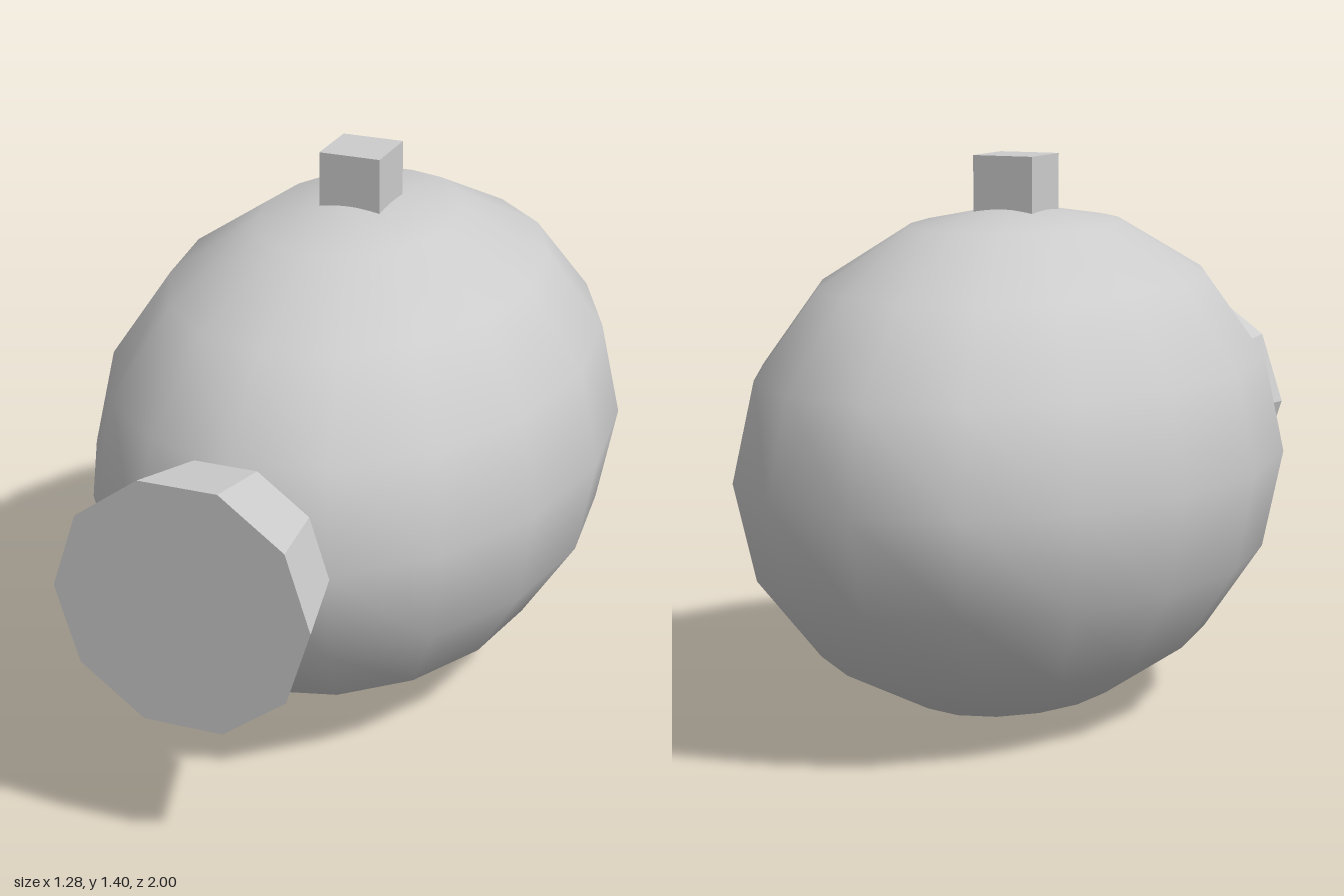
import * as THREE from 'three';

export function createModel() {
  const model = new THREE.Group();
  const grey = new THREE.MeshStandardMaterial({ color: 0xcccccc });
  grey.name = 'light grey';
  const centreY = 0.645, centreZ = -0.1;

  function add(name, geometry, x, y, z) {
    const mesh = new THREE.Mesh(geometry, grey);
    mesh.name = name;
    mesh.position.set(x, y, z);
    model.add(mesh);
  }

  // Smooth ellipsoid body, stretched front to back
  const body = new THREE.SphereGeometry(1, 16, 8);
  body.scale(0.64, 0.64, 0.9);
  add('body', body, 0, centreY, centreZ);

  // Ten-sided flaring snout with hard facets
  let snout = new THREE.CylinderGeometry(0.32, 0.258, 0.26, 10, 1, false, Math.PI / 2);
  snout.rotateX(Math.PI / 2);
  snout = snout.toNonIndexed();
  snout.computeVertexNormals();
  add('snout', snout, 0, 0.648, 0.87);

  // Small square block on top
  add('topBlock', new THREE.BoxGeometry(0.16, 0.16, 0.16), 0, 1.325, centreZ);

  return model;
}
